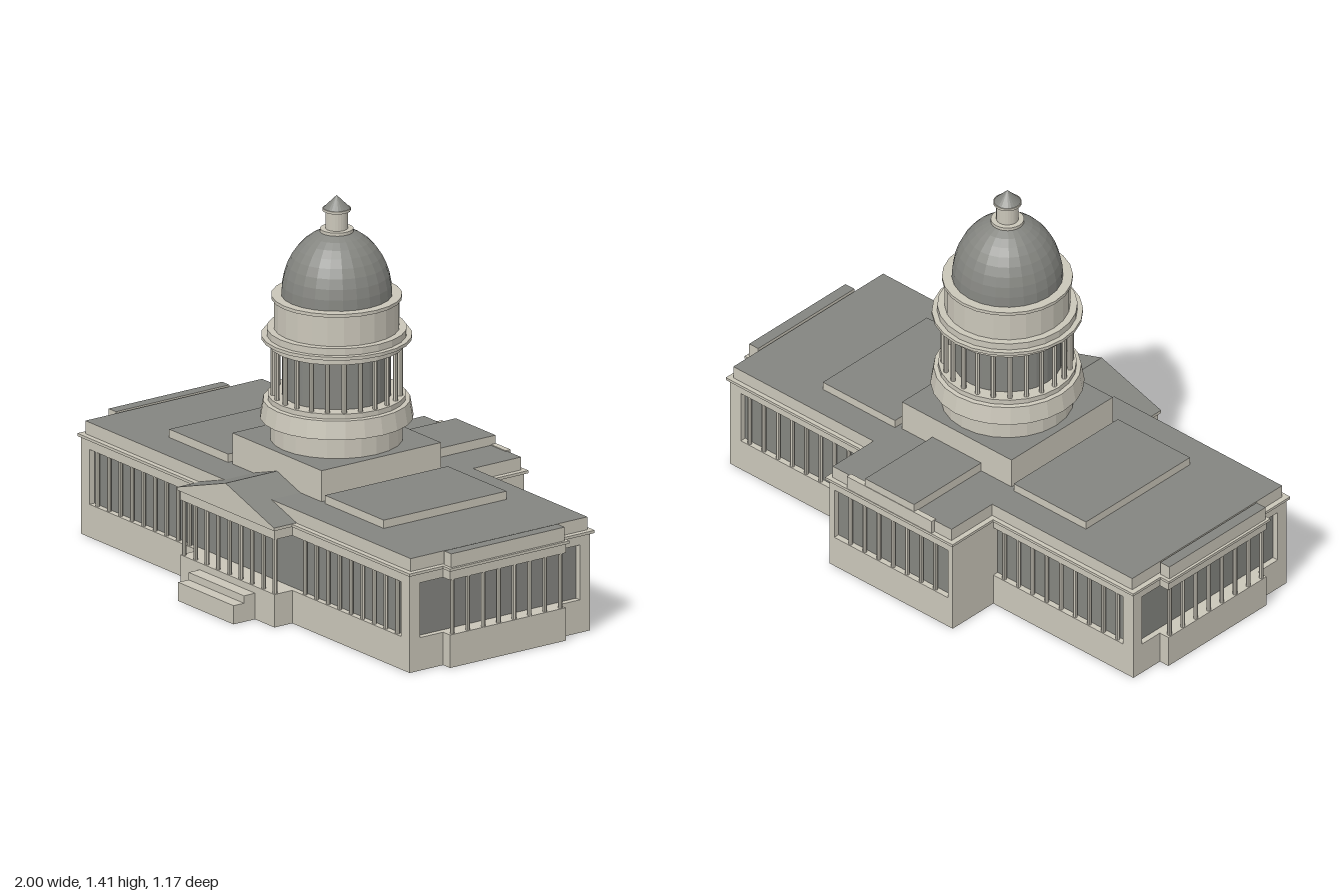
import * as THREE from 'three';

const mat = (name, color, extra = {}) => {
  const m = new THREE.MeshStandardMaterial({ color, flatShading: true, ...extra });
  m.name = name;
  return m;
};

export function createModel() {
  const model = new THREE.Group();
  model.name = 'domedCapitol';
  const stone = mat('pale stone', 0xcac6b9);
  const slate = mat('grey slate', 0x848580);
  const slateTop = [stone, stone, slate, stone, stone, stone];
  const ZC = 0.02; // middle of the main block

  const add = (name, geo, material, parent = model) => {
    const m = new THREE.Mesh(geo, material);
    m.name = name;
    parent.add(m);
    return m;
  };
  // box given by its limits on each axis
  const box = (name, x0, x1, y0, y1, z0, z1, material = stone, parent = model) => {
    const m = add(name, new THREE.BoxGeometry(x1 - x0, y1 - y0, z1 - z0), material, parent);
    m.position.set((x0 + x1) / 2, (y0 + y1) / 2, (z0 + z1) / 2);
    return m;
  };
  const column = (name, x, z, y0 = 0.12, y1 = 0.32, r = 0.008, parent = model) => {
    const m = add(name, new THREE.CylinderGeometry(r, r, y1 - y0, 8), stone, parent);
    m.position.set(x, (y0 + y1) / 2, z);
  };
  const group = (name) => {
    const g = new THREE.Group();
    g.name = name;
    model.add(g);
    return g;
  };
  // plinth, entablature, cornice, slate-topped parapet and recessed glazing
  const block = (name, hw, z0, z1, inset) => {
    const g = group(name);
    box('plinth', -hw, hw, 0, 0.12, z0, z1, stone, g);
    box('glazing', -hw + inset, hw - inset, 0.12, 0.32, z0 + inset, z1 - inset, slate, g);
    box('entablature', -hw, hw, 0.32, 0.355, z0, z1, stone, g);
    box('cornice', -hw - 0.01, hw + 0.01, 0.355, 0.365, z0 - 0.012, z1 + 0.008, stone, g);
    box('parapet', -hw + 0.01, hw - 0.01, 0.365, 0.412, z0 + 0.005, z1 - 0.012, slateTop, g);
    return g;
  };

  // main block with corner piers
  const main = block('mainBlock', 0.95, -0.365, 0.415, 0.022);
  for (const s of [-1, 1]) {
    const [a, b] = s > 0 ? [0.9, 0.95] : [-0.95, -0.9];
    box('frontPier', a, b, 0.12, 0.32, 0.37, 0.415, stone, main);
    box('backPier', a, b, 0.12, 0.32, -0.365, -0.32, stone, main);
  }
  // engaged columns along front and back
  for (let k = -13; k <= 13; k++) {
    const x = k / 15;
    if (Math.abs(x) > 0.28) {
      column('frontColumn', x, 0.405, 0.12, 0.32, 0.008, main);
      column('backColumn', x, -0.355, 0.12, 0.32, 0.008, main);
    }
  }

  // rear wing with solid side walls
  const rear = block('rearWing', 0.29, -0.572, -0.3, 0.022);
  for (const s of [-1, 1]) {
    box('sideWall', s > 0 ? 0.268 : -0.29, s > 0 ? 0.29 : -0.268, 0.12, 0.32, -0.572, -0.33, stone, rear);
  }
  for (let k = -3; k <= 3; k++) column('rearColumn', k / 15, -0.562, 0.12, 0.32, 0.008, rear);
  box('rearAttic', -0.2, 0.2, 0.365, 0.415, -0.582, -0.56, stone, rear);
  box('rearRoofSlab', -0.115, 0.115, 0.41, 0.445, -0.58, -0.23, slateTop, rear);

  // open colonnades at both ends
  for (const s of [-1, 1]) {
    const g = group(s > 0 ? 'leftEndPortico' : 'rightEndPortico');
    const part = (name, x0, x1, y0, y1, hz, m) =>
      box(name, s > 0 ? x0 : -x1, s > 0 ? x1 : -x0, y0, y1, ZC - hz, ZC + hz, m, g);
    part('plinth', 0.94, 0.99, 0, 0.12, 0.25);
    part('entablature', 0.94, 0.99, 0.32, 0.355, 0.25);
    part('cornice', 0.94, 1.0, 0.355, 0.365, 0.258);
    part('attic', 0.948, 0.99, 0.365, 0.415, 0.245, slateTop);
    for (let k = 0; k < 8; k++) column('column', s * 0.98, ZC + (k - 3.5) / 15, 0.12, 0.32, 0.008, g);
    // raised roof slab on each side of the dome
    box('wingRoofSlab', s > 0 ? 0.28 : -0.62, s > 0 ? 0.62 : -0.28, 0.41, 0.442, -0.25, 0.28, slateTop);
  }

  // front portico, pediment and steps
  const portico = group('frontPortico');
  box('plinth', -0.272, 0.272, 0, 0.12, 0.4, 0.492, stone, portico);
  box('entablature', -0.272, 0.272, 0.32, 0.355, 0.4, 0.492, stone, portico);
  box('cornice', -0.28, 0.28, 0.355, 0.366, 0.4, 0.5, stone, portico);
  for (let k = -4; k <= 4; k++) column('column', k * 0.0655, 0.482, 0.12, 0.32, 0.008, portico);
  box('upperStep', -0.16, 0.16, 0, 0.095, 0.48, 0.54, stone, portico);
  box('lowerStep', -0.16, 0.16, 0, 0.068, 0.53, 0.585, stone, portico);
  const gable = new THREE.Shape([[-0.28, 0.366], [0.28, 0.366], [0, 0.455]].map((p) => new THREE.Vector2(...p)));
  add('pediment', new THREE.ExtrudeGeometry(gable, { depth: 0.225, bevelEnabled: false }), [stone, slate], portico)
    .position.z = 0.275;

  // square dome base
  box('domeBase', -0.258, 0.258, 0.4, 0.525, ZC - 0.258, ZC + 0.258, slateTop);

  // round tower
  const tower = group('domeTower');
  tower.position.z = ZC;
  const lathe = (name, pts, material) =>
    add(name, new THREE.LatheGeometry(pts.map((p) => new THREE.Vector2(...p)), 24), material, tower);
  lathe('lowerDrum', [[0.23, 0.52], [0.23, 0.605], [0.267, 0.605], [0.256, 0.67], [0.24, 0.672],
    [0.24, 0.69], [0, 0.69]], stone);
  lathe('innerDrum', [[0.19, 0.69], [0.19, 0.868]], slate);
  for (let k = 0; k < 24; k++) {
    const a = (k / 24) * Math.PI * 2;
    column('drumColumn', 0.222 * Math.sin(a), 0.222 * Math.cos(a), 0.69, 0.868, 0.009, tower);
  }
  lathe('upperDrum', [[0, 0.868], [0.236, 0.868], [0.236, 0.893], [0.262, 0.893], [0.262, 0.905],
    [0.243, 0.905], [0.243, 0.93], [0.218, 0.93], [0.218, 1.038], [0.227, 1.038], [0.227, 1.05], [0, 1.05]], stone);
  const domePts = [];
  for (let i = 0; i <= 10; i++) {
    const a = (i / 10) * Math.PI / 2;
    domePts.push([0.193 * Math.cos(a), 1.05 + 0.24 * Math.sin(a)]);
  }
  lathe('dome', domePts, slate);
  lathe('lantern', [[0, 1.275], [0.058, 1.275], [0.058, 1.29], [0.039, 1.29], [0.039, 1.355],
    [0.049, 1.355], [0.049, 1.364], [0, 1.364]], stone);
  lathe('lanternRoof', [[0.046, 1.364], [0.012, 1.398], [0, 1.41]], slate);

  return model;
}
